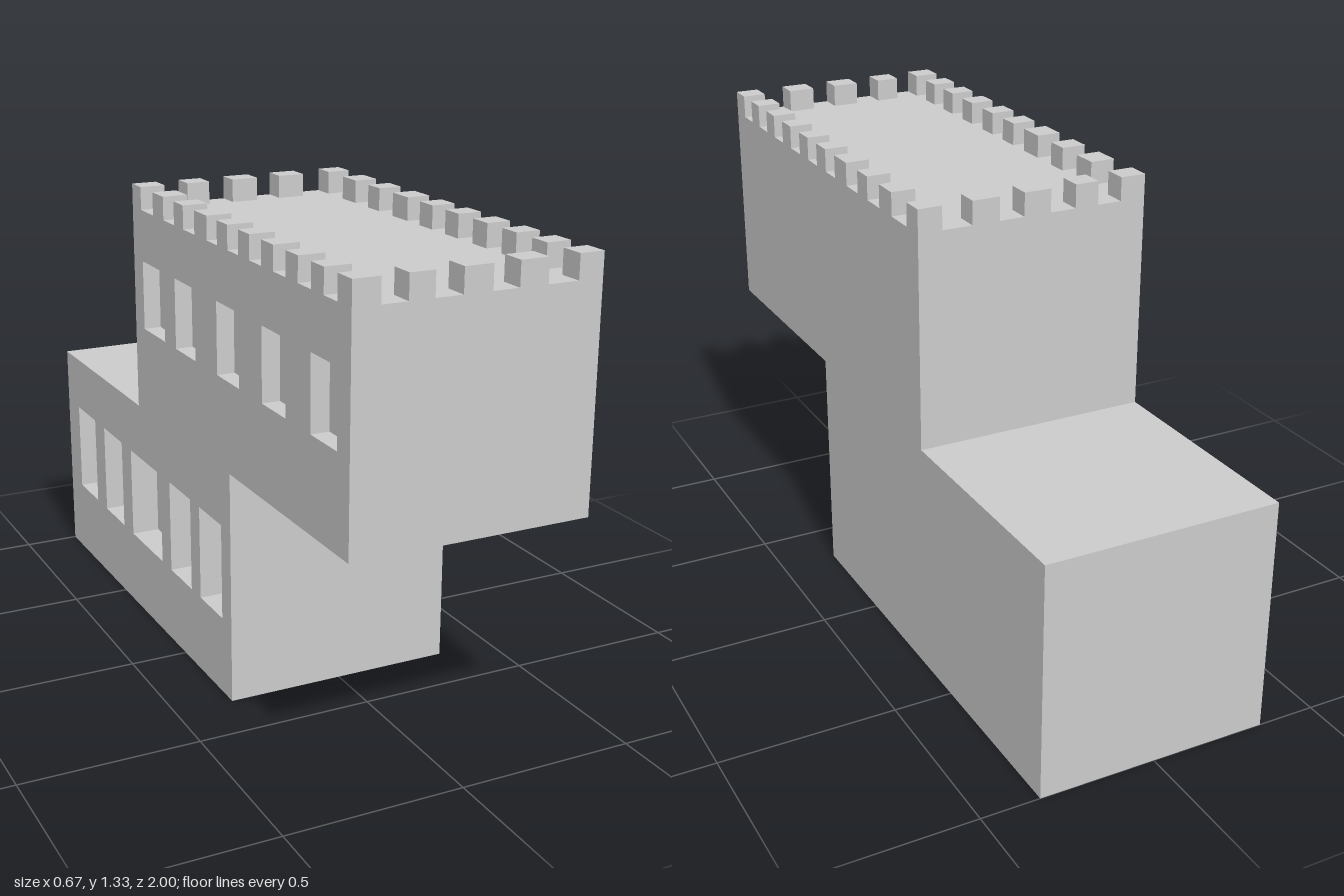
import * as THREE from 'three';

const HALF = 0.333, ROOF = 1.268, TOP = 1.333, MID = 0.667;
const material = new THREE.MeshStandardMaterial({ color: 0xcccccc });

function addMesh(parent, name, geometry) {
  const mesh = new THREE.Mesh(geometry, material);
  mesh.name = name;
  parent.add(mesh);
}

// Flat wall in the z-y plane at a given x, facing dir (+1 or -1) along x
function wall(points, x, dir, holes = []) {
  const flat = (list) => list.map(([z, y]) => new THREE.Vector2(-dir * z, y));
  const shape = new THREE.Shape(flat(points));
  shape.holes = holes.map((hole) => new THREE.Path(flat(hole)));
  return new THREE.ShapeGeometry(shape).rotateY(dir * Math.PI / 2).translate(x, 0, 0);
}

// Closed band of quads that sweeps a z-y outline from x0 to x1
function band(points, x0, x1) {
  const pos = [];
  points.forEach(([az, ay], i) => {
    const [bz, by] = points[(i + 1) % points.length];
    pos.push(x1, ay, az, x0, ay, az, x0, by, bz);
    pos.push(x1, ay, az, x0, by, bz, x1, by, bz);
  });
  const geometry = new THREE.BufferGeometry();
  geometry.setAttribute('position', new THREE.Float32BufferAttribute(pos, 3));
  geometry.computeVertexNormals();
  return geometry;
}

export function createModel() {
  const model = new THREE.Group();
  model.name = 'steppedFort';

  // Two offset storeys: the upper one overhangs the front
  const outline = [
    [0.333, 0], [-1, 0], [-1, MID], [-0.333, MID],
    [-0.333, ROOF], [1, ROOF], [1, MID], [0.333, MID],
  ];

  // Recessed windows on the right (-x) side only
  const rows = [
    { name: 'lowerWindow', y0: 0.225, y1: 0.5, depth: 0.083,
      spans: [[-0.9, -0.74], [-0.655, -0.495], [-0.415, -0.17], [-0.1, 0.055], [0.12, 0.272]] },
    { name: 'upperWindow', y0: 0.92, y1: 1.12, depth: 0.05,
      spans: [[-0.265, -0.105], [-0.025, 0.115], [0.26, 0.4], [0.537, 0.672], [0.804, 0.938]] },
  ];
  const windows = new THREE.Group();
  windows.name = 'windows';
  const openings = [];
  for (const { name, y0, y1, depth, spans } of rows) {
    for (const [z0, z1] of spans) {
      const hole = [[z0, y0], [z1, y0], [z1, y1], [z0, y1]];
      openings.push(hole);
      addMesh(windows, name + 'Reveal', band(hole, -HALF, depth - HALF));
      addMesh(windows, name + 'Back', wall(hole, depth - HALF, -1));
    }
  }

  // Walls, floors and roofs
  addMesh(model, 'outerShell', band(outline, -HALF, HALF));
  addMesh(model, 'leftWall', wall(outline, HALF, 1));
  addMesh(model, 'rightWall', wall(outline, -HALF, -1, openings));
  model.add(windows);

  // Battlements around the upper roof
  const battlements = new THREE.Group();
  battlements.name = 'battlements';
  const merlon = (x0, x1, z0, z1) => addMesh(battlements, 'merlon',
    new THREE.BoxGeometry(x1 - x0, TOP - ROOF, z1 - z0)
      .translate((x0 + x1) / 2, (TOP + ROOF) / 2, (z0 + z1) / 2));

  // Front and back rows, including the corners
  const across = [[-HALF, -0.26], [-0.19, -0.122], [-0.048, 0.03], [0.102, 0.18], [0.265, HALF]];
  for (const [x0, x1] of across) {
    merlon(x0, x1, 0.933, 1);
    merlon(x0, x1, -0.333, -0.267);
  }
  // Side rows between the corners
  const along = [
    [0.803, 0.867], [0.672, 0.736], [0.537, 0.604], [0.402, 0.467],
    [0.27, 0.336], [0.122, 0.204], [-0.02, 0.045], [-0.175, -0.097],
  ];
  for (const [z0, z1] of along) {
    merlon(-HALF, -0.262, z0, z1);
    merlon(0.265, HALF, z0, z1);
  }
  model.add(battlements);
  return model;
}
